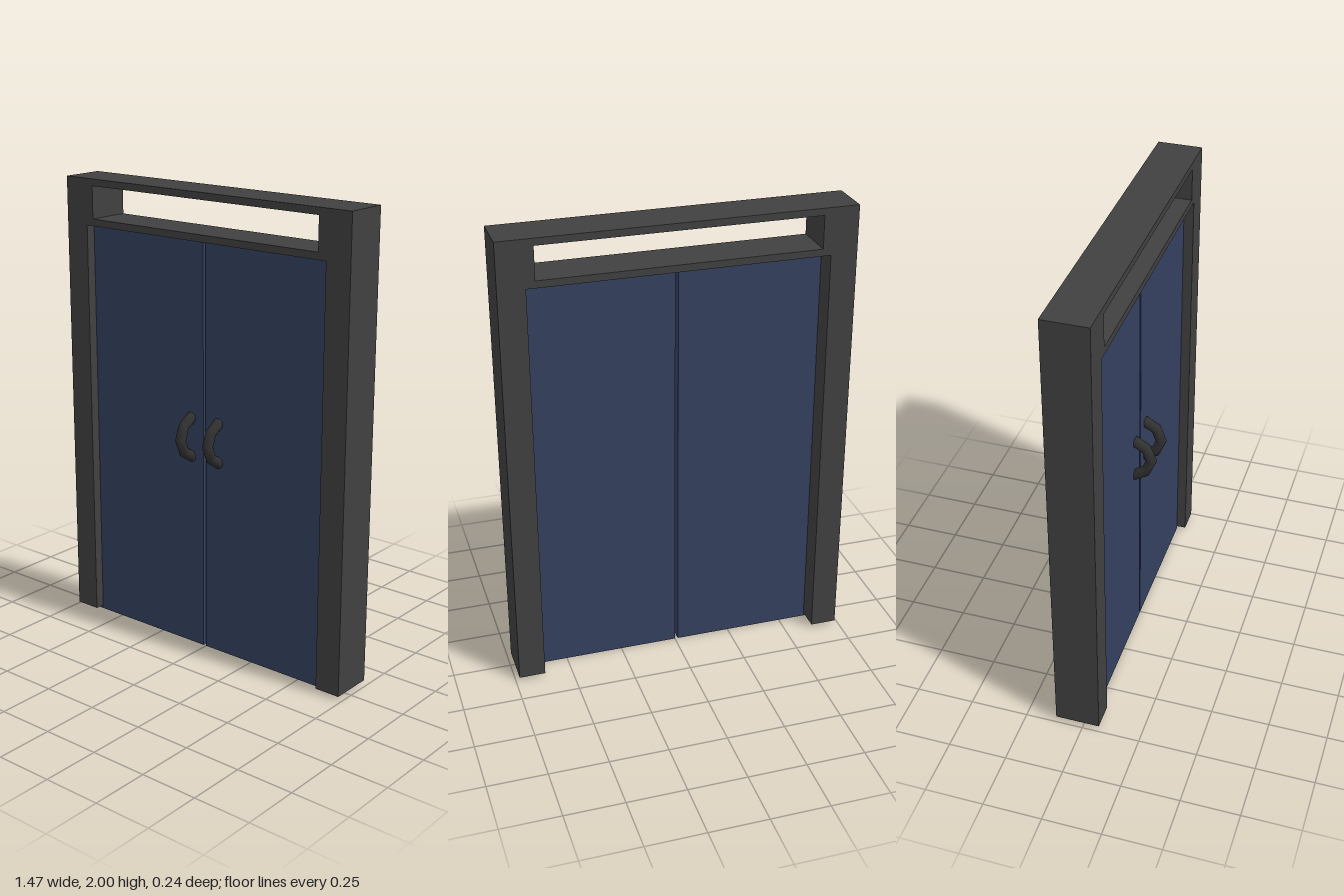
import * as THREE from 'three';

const frameMat = new THREE.MeshStandardMaterial({ color: 0x404040 });
const doorMat = new THREE.MeshStandardMaterial({ color: 0x34405f });
const handleMat = new THREE.MeshStandardMaterial({ color: 0x303030 });

function add(group, name, geometry, material, x = 0, y = 0, z = 0) {
  const mesh = new THREE.Mesh(geometry, material);
  mesh.name = name;
  mesh.position.set(x, y, z);
  group.add(mesh);
  return mesh;
}

const toPoints = (pairs) => pairs.map(([x, y]) => new THREE.Vector2(x, y));

export function createModel() {
  const model = new THREE.Group();
  model.name = 'doubleDoor';

  // Frame: posts and header in one outline, with an open transom above the doors
  const outline = new THREE.Shape(toPoints([
    [-0.735, 0.015], [-0.622, 0.015], [-0.622, 1.8], [0.62, 1.8],
    [0.62, 0.015], [0.733, 0.015], [0.733, 2], [-0.735, 2],
  ]));
  outline.holes.push(new THREE.Path(toPoints([
    [-0.587, 1.83], [-0.587, 1.97], [0.583, 1.97], [0.583, 1.83],
  ])));
  const frameGeometry = new THREE.ExtrudeGeometry(outline, { depth: 0.19, bevelEnabled: false });
  add(model, 'frame', frameGeometry, frameMat, 0, 0, -0.121);

  // Bowed pull handle, swept in the y-z plane
  const bow = new THREE.CatmullRomCurve3([
    [1.043, 0.02], [1.015, 0.072], [0.963, 0.097], [0.908, 0.086], [0.862, 0.02],
  ].map(([y, z]) => new THREE.Vector3(0, y, z)));
  const handleGeometry = new THREE.TubeGeometry(bow, 4, 0.023, 16);

  // Door leaves, let into the frame at the sides and top, each with a handle
  const leafWidth = 0.626;
  for (const [side, leafX, handleX] of [['right', -0.327, -0.08], ['left', 0.312, 0.067]]) {
    const leaf = new THREE.Group();
    leaf.name = side + 'Door';
    add(leaf, side + 'Leaf', new THREE.BoxGeometry(leafWidth, 1.81, 0.048), doorMat, leafX, 0.905, 0.003);
    add(leaf, side + 'Handle', handleGeometry, handleMat, handleX, 0, 0);
    model.add(leaf);
  }

  return model;
}
